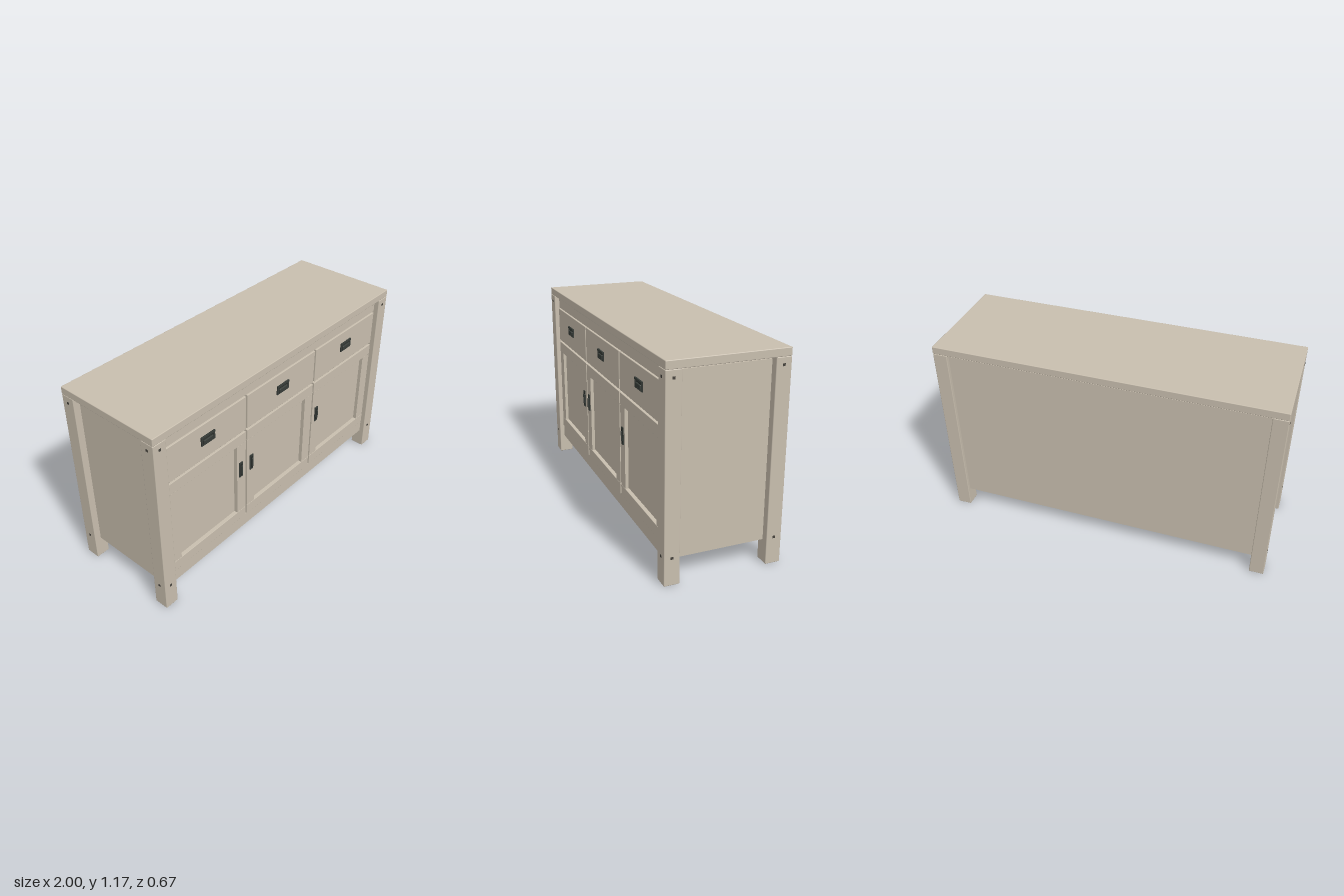
import * as THREE from 'three';
import { RoundedBoxGeometry } from 'three/addons/geometries/RoundedBoxGeometry.js';

const material = (name, color) => {
  const m = new THREE.MeshStandardMaterial({ color });
  m.name = name;
  return m;
};

export function createModel() {
  const wood = material('pale wood', 0xc8beae);
  const iron = material('dark iron', 0x383d39);
  const shade = material('iron recess', 0x262a27);
  const peg = material('dark peg', 0x45423c);

  const model = new THREE.Group();
  model.name = 'sideboard';

  // Box given by its limits on each axis; an optional bevel softens the edges
  function box(name, mat, [x0, x1], [y0, y1], [z0, z1], bevel = 0, parent = model) {
    const size = [x1 - x0, y1 - y0, z1 - z0];
    const geo = bevel ? new RoundedBoxGeometry(...size, 2, bevel) : new THREE.BoxGeometry(...size);
    const mesh = new THREE.Mesh(geo, mat);
    mesh.name = name;
    mesh.position.set((x0 + x1) / 2, (y0 + y1) / 2, (z0 + z1) / 2);
    parent.add(mesh);
    return mesh;
  }
  const around = (c, w) => [c - w / 2, c + w / 2];
  const group = (name) => {
    const g = new THREE.Group();
    g.name = name;
    model.add(g);
    return g;
  };

  // Top board
  box('topBoard', wood, [-1, 1], [1.13, 1.175], [-0.333, 0.333], 0.004);

  // Legs with square pegs on the front and outer faces
  for (const sx of [-1, 1]) {
    for (const sz of [-1, 1]) {
      const leg = group('leg');
      const cx = sx * 0.957, cz = sz * 0.29;
      box('legPost', wood, around(cx, 0.085), [0, 1.13], around(cz, 0.086), 0.004, leg);
      for (const y of [0.155, 1.09]) {
        box('sidePeg', peg, around(sx * 0.9985, 0.005), around(y, 0.014), around(cz, 0.014), 0, leg);
        if (sz > 0) box('frontPeg', peg, around(cx, 0.014), around(y, 0.014), around(0.332, 0.005), 0, leg);
      }
    }
    // Recessed side panel
    box('sidePanel', wood, around(sx * 0.95, 0.02), [0.13, 1.115], [-0.25, 0.25]);
  }

  // Carcass boards
  box('bottomBoard', wood, [-0.93, 0.93], [0.115, 0.13], [-0.31, 0.295]);
  box('backPanel', wood, [-0.93, 0.93], [0.115, 1.115], [-0.312, -0.295]);
  box('frontBacking', wood, [-0.93, 0.93], [0.13, 1.115], [0.255, 0.272]);

  // Front rails
  box('topRail', wood, [-0.92, 0.92], [1.05, 1.13], [0.26, 0.302]);
  box('bottomRail', wood, [-0.92, 0.92], [0.115, 0.193], [0.26, 0.302]);
  box('middleRail', wood, [-0.92, 0.92], [0.81, 0.835], [0.26, 0.288]);

  // Drawer pull: back plate, frame and a hooded cup
  function drawerPull(x, y, z, parent) {
    box('pullPlate', shade, around(x, 0.1), around(y, 0.055), [z, z + 0.003], 0, parent);
    box('pullTop', iron, around(x, 0.1), [y + 0.016, y + 0.0275], [z, z + 0.009], 0, parent);
    box('pullBottom', iron, around(x, 0.1), [y - 0.0275, y - 0.022], [z, z + 0.007], 0, parent);
    for (const s of [-1, 1]) {
      box('pullSide', iron, around(x + s * 0.045, 0.01), around(y, 0.055), [z, z + 0.007], 0, parent);
    }
    box('pullCup', iron, around(x, 0.07), [y - 0.018, y + 0.005], [z, z + 0.012], 0.003, parent);
  }

  // Door pull: upright plate with a recess and a grip
  function doorPull(x, y, z, parent) {
    box('pullPlate', iron, around(x, 0.027), around(y, 0.102), [z, z + 0.005], 0, parent);
    box('pullRecess', shade, around(x, 0.016), around(y, 0.08), [z, z + 0.007], 0, parent);
    box('pullGrip', iron, around(x + 0.003, 0.01), around(y, 0.06), [z, z + 0.013], 0.003, parent);
  }

  // Three columns, each with a drawer above a framed door
  const columns = [
    { x: [-0.91, -0.311], panel: [-0.84, -0.383], pull: -0.355 },
    { x: [-0.299, 0.297], panel: [-0.232, 0.226], pull: -0.264 },
    { x: [0.309, 0.908], panel: [0.378, 0.836], pull: 0.348 },
  ];
  const face = 0.308;
  for (const { x, panel, pull } of columns) {
    const drawer = group('drawer');
    box('drawerFront', wood, x, [0.828, 1.045], [0.265, face], 0.003, drawer);
    drawerPull((x[0] + x[1]) / 2, 0.947, face, drawer);

    const door = group('door');
    box('doorTopRail', wood, x, [0.745, 0.815], [0.265, face], 0.002, door);
    box('doorBottomRail', wood, x, [0.197, 0.262], [0.265, face], 0.002, door);
    box('doorStile', wood, [x[0], panel[0]], [0.262, 0.745], [0.265, face - 0.001], 0, door);
    box('doorStile', wood, [panel[1], x[1]], [0.262, 0.745], [0.265, face - 0.001], 0, door);
    // Sunken panel with a narrow shadow groove around it
    box('panelGroove', peg, panel, [0.262, 0.745], [0.27, 0.276], 0, door);
    box('doorPanel', wood, [panel[0] + 0.007, panel[1] - 0.007], [0.269, 0.738], [0.27, 0.29], 0, door);
    doorPull(pull, 0.573, face - 0.001, door);
  }

  return model;
}
